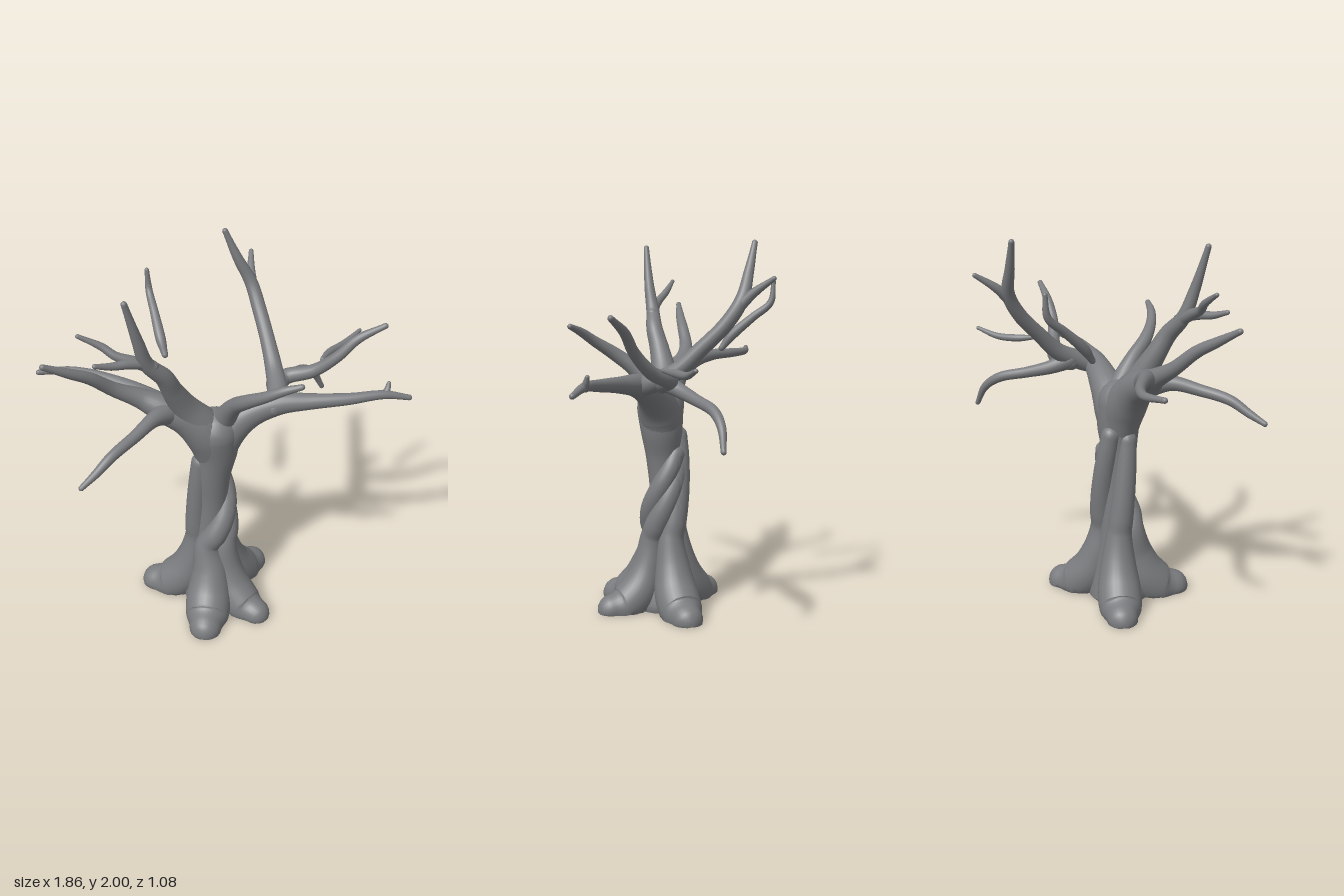
import * as THREE from 'three';
import { toCreasedNormals } from 'three/addons/utils/BufferGeometryUtils.js';

// Tapered round-ended limb through control points [x, y, z, radius]
function limbGeometry(points, sides = 18, floor = false) {
  const path = new THREE.CatmullRomCurve3(points.map(p => new THREE.Vector3(p[0], p[1], p[2])));
  const radii = new THREE.SplineCurve(points.map((p, i) => new THREE.Vector2(i, p[3])));
  const steps = (points.length - 1) * 8, capSteps = 5;
  const rings = [];
  for (let i = 0; i <= steps; i++) rings.push({ t: i / steps, scale: 1, push: 0 });
  for (let k = 1; k <= capSteps; k++) {
    const a = (k / capSteps) * Math.PI / 2;
    rings.unshift({ t: 0, scale: Math.cos(a), push: -Math.sin(a) });
    rings.push({ t: 1, scale: Math.cos(a), push: Math.sin(a) });
  }
  const positions = [], index = [];
  const normal = new THREE.Vector3(0.31, 0.22, 0.92);
  rings.forEach((ring, i) => {
    const tangent = path.getTangent(ring.t);
    const r = radii.getPoint(ring.t).y;
    const centre = path.getPoint(ring.t).addScaledVector(tangent, ring.push * r);
    normal.addScaledVector(tangent, -normal.dot(tangent)).normalize();
    const side = tangent.clone().cross(normal);
    for (let j = 0; j < sides; j++) {
      const a = (j / sides) * Math.PI * 2;
      const v = centre.clone()
        .addScaledVector(normal, Math.cos(a) * r * ring.scale)
        .addScaledVector(side, Math.sin(a) * r * ring.scale);
      positions.push(v.x, floor ? Math.max(v.y, 0) : v.y, v.z);
      if (i < rings.length - 1) {
        const p = i * sides + j, q = i * sides + (j + 1) % sides;
        index.push(p, q, p + sides, q, q + sides, p + sides);
      }
    }
  });
  const geometry = new THREE.BufferGeometry();
  geometry.setAttribute('position', new THREE.Float32BufferAttribute(positions, 3));
  geometry.setIndex(index);
  geometry.computeVertexNormals();
  return floor ? toCreasedNormals(geometry, 0.8) : geometry;
}

export function createModel() {
  const tree = new THREE.Group();
  tree.name = 'tree';
  const bark = new THREE.MeshStandardMaterial({ color: 0x7b7c7f });
  bark.name = 'greyBark';

  const add = (name, points, sides, floor) => {
    const mesh = new THREE.Mesh(limbGeometry(points, sides, floor), bark);
    mesh.name = name;
    tree.add(mesh);
  };

  // Trunk core with a flared foot
  add('trunk', [
    [-0.085, 0.02, 0.11, 0.165], [-0.085, 0.2, 0.1, 0.125], [-0.09, 0.4, 0.095, 0.095],
    [-0.085, 0.65, 0.1, 0.085], [-0.08, 0.85, 0.11, 0.095],
    [-0.065, 1.0, 0.115, 0.115], [-0.07, 1.12, 0.125, 0.125],
  ], 28, true);

  // Roots that rise into strands twisting round the trunk
  const cx = -0.085, cz = 0.095;
  const roots = [
    { name: 'frontRoot', tip: [-0.2, 0.4], turn: [-32, 150], top: 0.86, r: 0.105 },
    { name: 'frontLeftRoot', tip: [0.1, 0.36], turn: [40, 175], top: 0.82, r: 0.09 },
    { name: 'backLeftRoot', tip: [0.195, -0.08], turn: [122, 205], top: 0.96, r: 0.1 },
    { name: 'backRightRoot', tip: [-0.375, -0.06], turn: [246, 288], top: 0.93, r: 0.1 },
  ];
  for (const { name, tip, turn, top, r } of roots) {
    const along = (f, y, radius) => [cx + (tip[0] - cx) * f, y, cz + (tip[1] - cz) * f, radius];
    const points = [
      along(1, 0.02, r * 0.85), along(0.76, 0.035, r * 1.14),
      along(0.5, 0.11, r * 1.18), along(0.33, 0.24, r * 0.96),
    ];
    for (let k = 0; k <= 6; k++) {
      const f = k / 6;
      const a = THREE.MathUtils.degToRad(THREE.MathUtils.lerp(turn[0], turn[1], f));
      const offset = 0.082 - 0.014 * f * f;
      points.push([cx + Math.sin(a) * offset, 0.4 + (top - 0.4) * f,
        cz + Math.cos(a) * offset, 0.07 - 0.02 * f]);
    }
    add(name, points, 28, true);
  }

  // Left side: main bough, its twig, and the limbs growing from it
  add('leftBough', [
    [-0.07, 0.95, 0.11, 0.1], [-0.03, 1.09, 0.115, 0.113], [0.1, 1.2, 0.13, 0.083],
    [0.25, 1.262, 0.17, 0.062], [0.4, 1.28, 0.22, 0.043], [0.6, 1.295, 0.27, 0.031],
    [0.78, 1.305, 0.29, 0.023], [0.915, 1.277, 0.305, 0.015],
  ], 24);
  add('leftBoughTwig', [[0.77, 1.3, 0.287, 0.02], [0.798, 1.318, 0.278, 0.018], [0.812, 1.355, 0.265, 0.011]]);
  add('tallBackLimb', [
    [0.22, 1.25, 0.18, 0.05], [0.27, 1.28, 0.09, 0.054], [0.29, 1.34, -0.04, 0.047],
    [0.288, 1.45, -0.16, 0.04], [0.275, 1.58, -0.29, 0.038], [0.25, 1.7, -0.365, 0.035],
    [0.18, 1.84, -0.39, 0.026], [0.118, 1.985, -0.41, 0.015],
  ]);
  add('tallBackLimbTwig', [
    [0.26, 1.66, -0.35, 0.028], [0.265, 1.73, -0.42, 0.024], [0.295, 1.805, -0.53, 0.013],
  ]);
  add('leftRisingLimb', [
    [0.28, 1.28, 0.03, 0.05], [0.35, 1.3, -0.02, 0.043], [0.48, 1.35, 0.04, 0.035],
    [0.59, 1.455, 0.1, 0.029], [0.68, 1.55, 0.12, 0.025], [0.815, 1.625, 0.15, 0.015],
  ]);
  add('leftDroopingLimb', [
    [0.28, 1.29, 0.02, 0.05], [0.33, 1.25, -0.07, 0.038], [0.42, 1.215, -0.17, 0.03],
    [0.54, 1.175, -0.28, 0.027], [0.62, 1.11, -0.33, 0.022], [0.68, 1.005, -0.35, 0.014],
  ]);
  add('leftLooseTwig', [
    [0.555, 1.37, -0.035, 0.012], [0.62, 1.362, -0.11, 0.02],
    [0.73, 1.362, -0.185, 0.018], [0.845, 1.395, -0.25, 0.011],
  ]);

  // Front limb
  add('frontLimb', [
    [-0.05, 1.13, 0.11, 0.08], [-0.025, 1.23, 0.17, 0.058], [-0.005, 1.33, 0.25, 0.043],
    [0.03, 1.41, 0.35, 0.036], [0.1, 1.48, 0.44, 0.028], [0.17, 1.53, 0.49, 0.023],
    [0.25, 1.562, 0.525, 0.015],
  ]);

  // Right side: main bough, then its three forks
  add('rightBough', [
    [-0.07, 0.95, 0.11, 0.1], [-0.12, 1.11, 0.12, 0.115], [-0.22, 1.22, 0.115, 0.096],
    [-0.34, 1.285, 0.1, 0.076], [-0.45, 1.345, 0.075, 0.052], [-0.58, 1.42, 0.085, 0.037],
    [-0.7, 1.525, 0.13, 0.031], [-0.8, 1.585, 0.165, 0.025], [-0.92, 1.655, 0.2, 0.015],
  ], 24);
  add('rightBackLimb', [
    [-0.36, 1.3, 0.08, 0.062], [-0.46, 1.35, 0.01, 0.046], [-0.56, 1.373, -0.08, 0.032],
    [-0.67, 1.378, -0.175, 0.026], [-0.78, 1.382, -0.23, 0.021], [-0.92, 1.395, -0.22, 0.014],
  ]);
  add('rightDroopingLimb', [
    [-0.31, 1.27, 0.12, 0.065], [-0.41, 1.29, 0.21, 0.04], [-0.52, 1.265, 0.3, 0.031],
    [-0.65, 1.23, 0.39, 0.027], [-0.74, 1.175, 0.44, 0.021], [-0.815, 1.135, 0.478, 0.014],
  ]);
  add('tallRightLimb', [
    [-0.13, 1.15, 0.12, 0.1], [-0.23, 1.29, 0.14, 0.072], [-0.3, 1.42, 0.18, 0.055],
    [-0.35, 1.53, 0.22, 0.046], [-0.435, 1.63, 0.25, 0.037], [-0.478, 1.77, 0.28, 0.028],
    [-0.537, 1.985, 0.31, 0.015],
  ], 22);
  add('upperTwig', [
    [-0.41, 1.61, 0.245, 0.034], [-0.5, 1.655, 0.25, 0.028], [-0.58, 1.69, 0.24, 0.022],
    [-0.64, 1.735, 0.215, 0.019], [-0.745, 1.795, 0.2, 0.011],
  ]);
  add('lowerTwig', [
    [-0.44, 1.635, 0.25, 0.028], [-0.53, 1.655, 0.27, 0.024],
    [-0.61, 1.665, 0.29, 0.019], [-0.69, 1.69, 0.315, 0.012],
  ]);
  add('backLooseTwig', [
    [-0.265, 1.43, -0.18, 0.017], [-0.275, 1.5, -0.235, 0.027], [-0.282, 1.6, -0.35, 0.023],
    [-0.288, 1.68, -0.445, 0.019], [-0.293, 1.79, -0.46, 0.012],
  ]);

  return tree;
}
